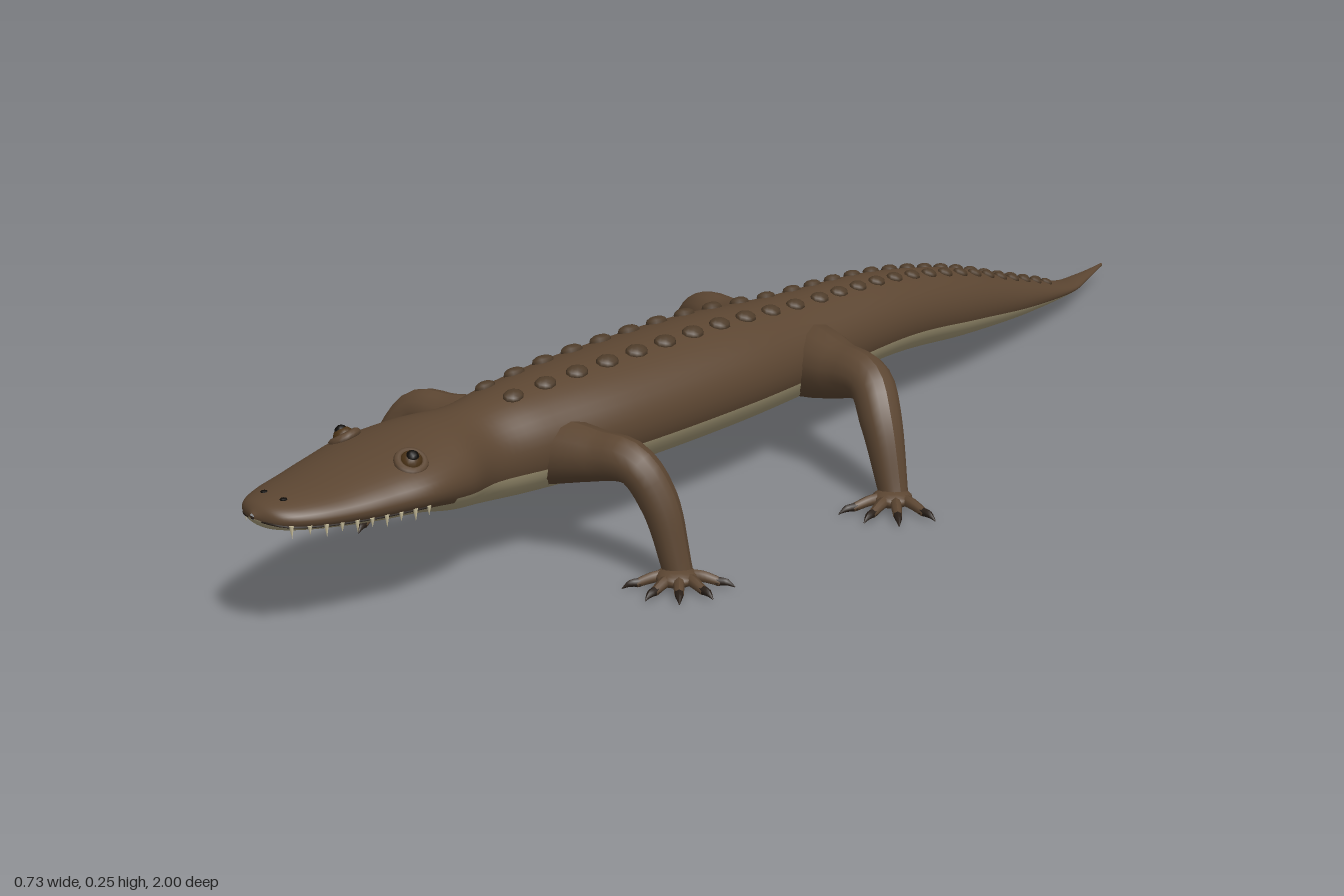
import * as THREE from 'three';

const mat = (name, color, extra = {}) => {
  const m = new THREE.MeshStandardMaterial({ color, ...extra });
  m.name = name;
  return m;
};

// Body stations from snout to tail tip: z, centre x, half width, top y, bottom y
const STATIONS = [
  [1.0, 0, 0.004, 0.186, 0.178], [0.985, 0, 0.04, 0.198, 0.164], [0.95, 0, 0.064, 0.203, 0.155],
  [0.9, 0, 0.082, 0.208, 0.147], [0.85, 0, 0.096, 0.216, 0.14], [0.79, 0, 0.108, 0.225, 0.133],
  [0.72, 0, 0.098, 0.234, 0.113], [0.65, 0, 0.074, 0.235, 0.1], [0.56, 0, 0.088, 0.245, 0.092],
  [0.42, 0, 0.106, 0.251, 0.086], [0.2, 0, 0.106, 0.251, 0.085], [0.02, 0, 0.088, 0.238, 0.088],
  [-0.2, -0.005, 0.073, 0.225, 0.094], [-0.4, -0.02, 0.061, 0.185, 0.073],
  [-0.6, -0.055, 0.047, 0.12, 0.05], [-0.8, -0.1, 0.028, 0.055, 0.032],
  [-0.9, -0.128, 0.015, 0.039, 0.027], [-1.0, -0.156, 0.002, 0.032, 0.026],
];
const spline = (f) => new THREE.CatmullRomCurve3(STATIONS.map(f), false, 'catmullrom', 0.5);
const plan = spline(([z, x, w]) => new THREE.Vector3(x, w, z));
const side = spline(([, , , top, bottom]) => new THREE.Vector3(top, bottom, 0));

// Point on the skin at t along the body and angle a around it
function skin(t, a) {
  const p = plan.getPoint(t), s = side.getPoint(t);
  return new THREE.Vector3(
    p.x + Math.max(p.y, 0.001) * Math.cos(a),
    (s.x + s.y) / 2 + ((s.x - s.y) / 2) * Math.sin(a), p.z);
}

// Position along the body for a given z
function tAt(z) {
  let lo = 0, hi = 1;
  for (let i = 0; i < 24; i++) {
    const m = (lo + hi) / 2;
    if (plan.getPoint(m).z > z) lo = m; else hi = m;
  }
  return lo;
}

// Closed skin with a back group and a belly group
function bodyGeometry(rows = 110, cols = 40) {
  const pos = [], back = [], belly = [];
  for (let i = 0; i <= rows; i++)
    for (let j = 0; j < cols; j++) pos.push(...skin(i / rows, (j / cols) * Math.PI * 2).toArray());
  for (let i = 0; i < rows; i++) {
    const edge = plan.getPoint(i / rows).z > 0.76 ? 3 : 2;
    for (let j = 0; j < cols; j++) {
      const k = (j + 1) % cols, a = i * cols, b = a + cols;
      const list = j >= cols / 2 + edge && j < cols - edge ? belly : back;
      list.push(a + j, b + j, a + k, b + j, b + k, a + k);
    }
  }
  const g = new THREE.BufferGeometry();
  g.setAttribute('position', new THREE.Float32BufferAttribute(pos, 3));
  g.setIndex([...back, ...belly]);
  g.addGroup(0, back.length, 0);
  g.addGroup(back.length, belly.length, 1);
  g.computeVertexNormals();
  return g;
}

// Tube whose radius follows a list of values from start to end
function taperedTube(points, radii, steps = 24, sides = 14) {
  const curve = new THREE.CatmullRomCurve3(points.map((p) => new THREE.Vector3(...p)));
  const g = new THREE.TubeGeometry(curve, steps, 1, sides);
  const pos = g.attributes.position, v = new THREE.Vector3();
  for (let i = 0; i <= steps; i++) {
    const c = curve.getPointAt(i / steps);
    const f = (i / steps) * (radii.length - 1), n = Math.min(Math.floor(f), radii.length - 2);
    const r = THREE.MathUtils.lerp(radii[n], radii[n + 1], f - n);
    for (let j = 0; j <= sides; j++) {
      const k = i * (sides + 1) + j;
      v.fromBufferAttribute(pos, k).sub(c).multiplyScalar(r).add(c);
      pos.setXYZ(k, v.x, v.y, v.z);
    }
  }
  g.computeVertexNormals();
  return g;
}

export function createModel() {
  const hide = mat('brown hide', 0x5c4632);
  const pale = mat('pale belly', 0xa89c7a);
  const scuteMat = mat('dark scute', 0x4e3c2a);
  const clawMat = mat('claw', 0x2a2019);
  const toothMat = mat('tooth', 0xd8cda8);
  const eyeMat = mat('eye', 0x4a3216);
  const pupilMat = mat('pupil', 0x0e0b08);

  const model = new THREE.Group();
  model.name = 'reptile';
  const add = (parent, name, geometry, material) => {
    const m = new THREE.Mesh(geometry, material);
    m.name = name;
    parent.add(m);
    return m;
  };

  add(model, 'body', bodyGeometry(), [hide, pale]);

  // Two rows of scutes along the back and tail
  const scutes = new THREE.Group();
  scutes.name = 'scutes';
  model.add(scutes);
  const bump = new THREE.SphereGeometry(1, 10, 6);
  for (let z = 0.585; z > -0.74; z -= z > 0 ? 0.056 : 0.046) {
    const t = tAt(z), w = plan.getPoint(t).y, size = 0.5 + w * 4.7;
    const slope = skin(t, Math.PI / 2).sub(skin(Math.min(t + 0.01, 1), Math.PI / 2));
    for (const s of [1, -1]) {
      const m = add(scutes, 'scute', bump, scuteMat);
      m.position.copy(skin(t, Math.PI / 2 - s * 0.34));
      m.scale.set(0.014 * size, 0.009 * size, 0.018 * size);
      m.rotation.set(-Math.atan2(slope.y, slope.z), 0, -s * 0.25);
    }
  }

  // Eyes with raised rims
  for (const s of [1, -1]) {
    const eye = new THREE.Group();
    eye.name = s > 0 ? 'leftEye' : 'rightEye';
    eye.position.copy(skin(tAt(0.797), Math.PI / 2 - s * 0.66));
    eye.rotation.set(-Math.PI / 2 + 0.15, s * 0.5, 0);
    model.add(eye);
    add(eye, 'eyeRim', new THREE.TorusGeometry(0.017, 0.006, 8, 20), hide);
    add(eye, 'eyeball', new THREE.SphereGeometry(0.015, 16, 10), eyeMat);
    const pupil = add(eye, 'pupil', new THREE.SphereGeometry(0.009, 12, 8), pupilMat);
    pupil.position.z = 0.009;
  }

  // Mouth line around the snout, and nostrils
  const lip = [];
  for (let i = 0; i <= 12; i++) lip.push(skin(tAt(0.8 + 0.016 * i), -0.38));
  const right = lip.slice().reverse().map((p) => new THREE.Vector3(-p.x, p.y, p.z));
  const mouth = new THREE.CatmullRomCurve3([...lip, ...right]);
  add(model, 'mouthLine', new THREE.TubeGeometry(mouth, 50, 0.0018, 5), clawMat);
  for (const s of [1, -1]) {
    const n = add(model, 'nostril', new THREE.SphereGeometry(0.005, 8, 6), pupilMat);
    n.position.copy(skin(tAt(0.965), Math.PI / 2 - s * 0.35));
    n.scale.y = 0.4;
  }

  // Teeth hanging from the upper jaw
  for (let i = 0; i < 10; i++) {
    const length = 0.013 + 0.005 * (i % 2);
    for (const s of [1, -1]) {
      const p = skin(tAt(0.8 + 0.0195 * i), -0.36);
      const tooth = add(model, 'tooth', new THREE.ConeGeometry(0.0035, length, 6), toothMat);
      tooth.position.set(s * p.x, p.y - length * 0.4, p.z);
      tooth.rotation.x = Math.PI;
    }
  }

  // Leg from hip to ankle, with a fan of clawed toes (angles outward from forward)
  function leg(name, s, path, radii, angles, toeLength) {
    const g = new THREE.Group();
    g.name = name;
    model.add(g);
    add(g, 'limb', taperedTube(path.map(([x, y, z]) => [s * x, y, z]), radii), hide);
    const [x, , z] = path[path.length - 1];
    const palm = add(g, 'palm', new THREE.SphereGeometry(1, 14, 10), hide);
    palm.position.set(s * (x + 0.004), 0.015, z + 0.008);
    palm.scale.set(0.029, 0.013, 0.029);
    for (const deg of angles) {
      const a = THREE.MathUtils.degToRad(deg);
      const at = (d, y) => [s * (x + Math.sin(a) * d), y, z + Math.cos(a) * d];
      add(g, 'toe', taperedTube(
        [at(0.01, 0.014), at(toeLength * 0.4, 0.015), at(toeLength * 0.75, 0.009)],
        [0.009, 0.008, 0.006], 8, 8), hide);
      add(g, 'claw', taperedTube(
        [at(toeLength * 0.68, 0.01), at(toeLength * 0.85, 0.01), at(toeLength, 0.004)],
        [0.0065, 0.005, 0.0005], 6, 7), clawMat);
    }
  }

  const frontRadii = [0.05, 0.042, 0.033, 0.029, 0.027, 0.023, 0.02];
  const rearRadii = [0.06, 0.052, 0.039, 0.033, 0.031, 0.026, 0.021];
  const frontLeg = (name, s, z0, z1) => leg(name, s, [
    [0.04, 0.155, z0], [0.12, 0.162, z0 + (z1 - z0) * 0.3], [0.185, 0.163, z0 + (z1 - z0) * 0.5],
    [0.217, 0.115, z0 + (z1 - z0) * 0.8], [0.243, 0.016, z1],
  ], frontRadii, [-30, 10, 45, 80, 118], 0.078);
  const rearLeg = (name, s, z0, z1) => leg(name, s, [
    [0.04, 0.155, z0], [0.12, 0.16, z0 + (z1 - z0) * 0.3], [0.2, 0.162, z0 + (z1 - z0) * 0.55],
    [0.236, 0.115, z0 + (z1 - z0) * 0.8], [0.272, 0.016, z1],
  ], rearRadii, [-18, 13, 45, 80], 0.092);

  frontLeg('frontLeftLeg', 1, 0.54, 0.495);
  frontLeg('frontRightLeg', -1, 0.54, 0.605);
  rearLeg('rearLeftLeg', 1, 0.02, 0.085);
  rearLeg('rearRightLeg', -1, 0.015, -0.04);

  return model;
}
